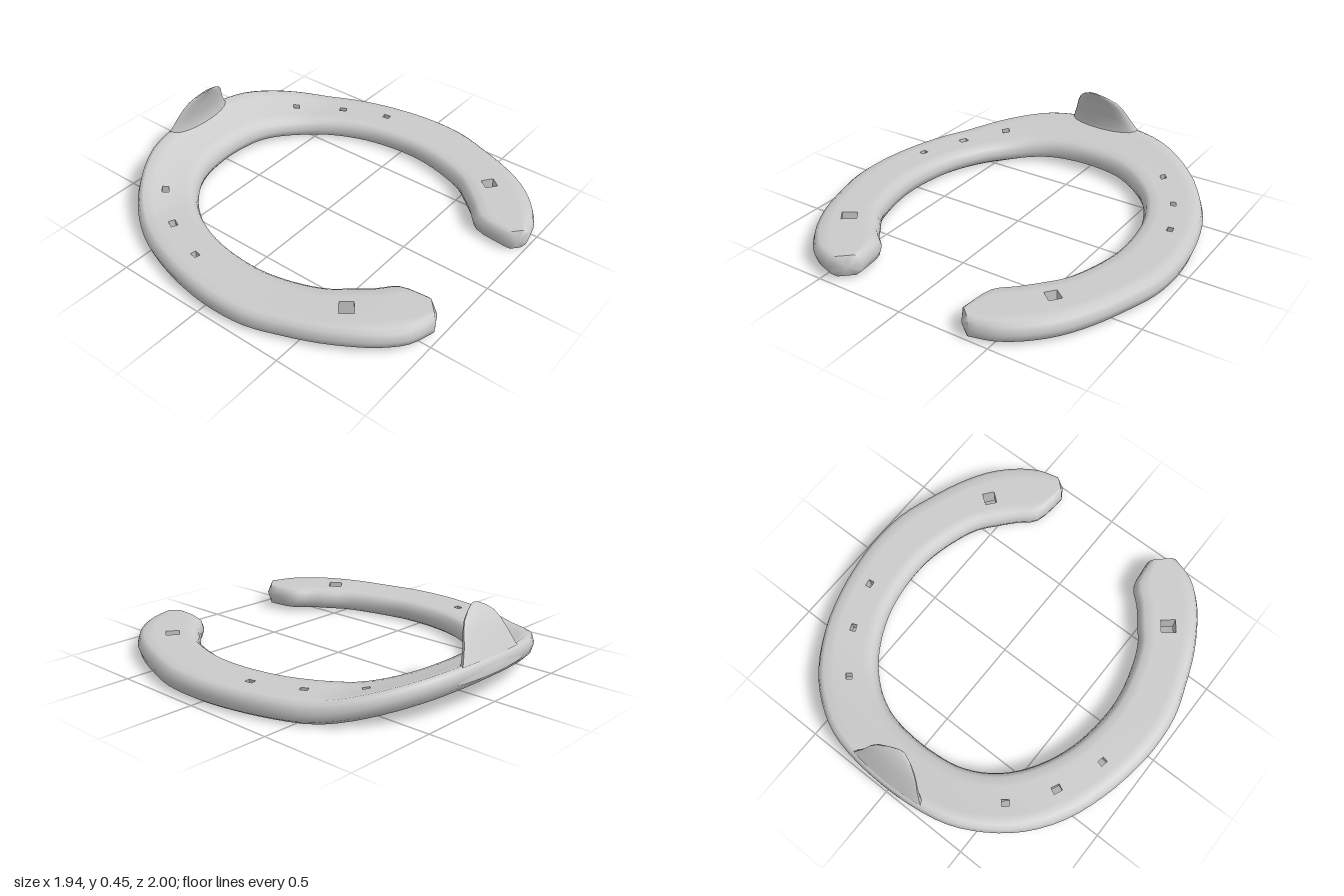
import * as THREE from 'three';
import { toCreasedNormals } from 'three/addons/utils/BufferGeometryUtils.js';

const V = (x, y, z) => new THREE.Vector3(x, y, z);
const material = new THREE.MeshStandardMaterial({ color: 0xcccccc });

// Outline from toe to heel: outer x, outer z, inner x, inner z
const side = [
  [0.19, -0.99, 0.1, -0.695], [0.38, -0.95, 0.22, -0.675], [0.55, -0.86, 0.34, -0.62],
  [0.7, -0.73, 0.45, -0.53], [0.83, -0.54, 0.54, -0.41], [0.91, -0.33, 0.61, -0.26],
  [0.955, -0.12, 0.645, -0.12], [0.97, 0.05, 0.66, 0.05], [0.955, 0.25, 0.65, 0.18],
  [0.9, 0.43, 0.61, 0.34], [0.83, 0.61, 0.56, 0.46], [0.74, 0.77, 0.49, 0.55],
];
const leftHeel = [[0.63, 0.89, 0.41, 0.64], [0.51, 0.97, 0.33, 0.72], [0.4, 1.0, 0.3, 0.91]];
const rightHeel = [[0.68, 0.85, 0.43, 0.63], [0.58, 0.94, 0.35, 0.71], [0.45, 0.985, 0.325, 0.87]];

// Holes: x, z, radius on top, radius below (wider, for the nail heads)
const holes = [
  [0.53, -0.665, 0.023, 0.045], [0.7, -0.44, 0.025, 0.045], [0.8, -0.19, 0.025, 0.045],
  [0.61, 0.635, 0.048, 0.055],
  [-0.54, -0.68, 0.027, 0.045], [-0.7, -0.46, 0.03, 0.045], [-0.8, -0.2, 0.025, 0.045],
  [-0.64, 0.62, 0.054, 0.058],
];

// Rolled-up toe, and a slight rise of the right heel
function lift(x, z) {
  const rise = x < 0 ? 0.018 * THREE.MathUtils.smoothstep(z, 0.2, 0.8) : 0;
  return 0.42 * Math.max(0, -0.55 - z) ** 1.5 + rise;
}

function makeGeometry(points, index) {
  const g = new THREE.BufferGeometry().setFromPoints(points);
  g.setIndex(index);
  return toCreasedNormals(g, 0.95);
}

function shoeGeometry() {
  const pairs = [
    ...[...side, ...rightHeel].reverse().map(([a, b, c, d]) => [-a, b, -c, d]),
    [0, -1, 0, -0.7], ...side, ...leftHeel,
  ];
  const outer = new THREE.CatmullRomCurve3(pairs.map(p => V(p[0], 0, p[1])));
  const inner = new THREE.CatmullRomCurve3(pairs.map(p => V(p[2], 0, p[3])));
  const steps = (pairs.length - 1) * 3, cells = 5, low = 0.005, high = 0.12;

  // Cross-section: inset from the inner (+1) or outer (-1) edge, or a fraction across
  const section = [];
  const flat = (y, inset, flip) => {
    for (let k = 0; k <= cells; k++) section.push({ f: flip ? 1 - k / cells : k / cells, inset, y });
  };
  const wall = (f, rows) => rows.forEach(([inset, y]) => section.push({ f, inset, y }));
  const rows = [[0.012, 0.103], [0, 0.062], [0.012, 0.023]];
  flat(high, 0.035, false);
  wall(1, rows);
  flat(low, 0.04, true);
  wall(0, [...rows].reverse());
  const N = section.length;

  const points = [], index = [], skip = new Set();
  const id = (i, j) => i * N + (j % N);
  const quad = (a, b, c, d) => index.push(a, b, c, a, c, d);
  for (let i = 0; i <= steps; i++) {
    const a = inner.getPoint(i / steps), b = outer.getPoint(i / steps);
    const width = a.distanceTo(b);
    for (const { f, inset, y } of section) {
      const t = (inset + f * (width - 2 * inset)) / width;
      const p = a.clone().lerp(b, t);
      p.y = y + lift(p.x, p.z);
      points.push(p);
    }
  }

  // Open the nearest cell for each hole, above and below, and join the two with walls
  for (const [x, z, rTop, rLow] of holes) {
    let best = null;
    for (let i = 0; i < steps; i++) for (let j = 0; j < cells; j++) {
      const top = [id(i, j), id(i + 1, j), id(i + 1, j + 1), id(i, j + 1)];
      const c = top.reduce((s, k) => s.add(points[k]), V(0, 0, 0)).multiplyScalar(0.25);
      const d = Math.hypot(c.x - x, c.z - z);
      if (!best || d < best.d) best = { d, i, j, c, top };
    }
    const { i, j, c, top } = best, m = 2 * cells + 4 - j;
    const bottom = [id(i, m), id(i + 1, m), id(i + 1, m - 1), id(i, m - 1)];
    skip.add(id(i, j)).add(id(i, m - 1));
    top.forEach((k, n) => {
      const dir = V(points[k].x - c.x, 0, points[k].z - c.z).normalize();
      [[k, rTop, high], [bottom[n], rLow, low]].forEach(([v, r, y]) => {
        const px = x + dir.x * r, pz = z + dir.z * r;
        points[v].set(px, y + lift(px, pz), pz);
      });
    });
    for (let n = 0; n < 4; n++) {
      const o = (n + 1) % 4;
      quad(top[n], top[o], bottom[o], bottom[n]);
    }
  }

  // Skin of the bar
  for (let i = 0; i < steps; i++) for (let j = 0; j < N; j++) {
    if (!skip.has(id(i, j))) quad(id(i, j), id(i + 1, j), id(i + 1, j + 1), id(i, j + 1));
  }
  // Slightly domed heel ends
  for (const i of [0, steps]) {
    const c = V(0, 0, 0);
    for (let j = 0; j < N; j++) c.addScaledVector(points[id(i, j)], 1 / N);
    c.x += i ? -0.012 : 0.02;
    c.z += 0.015;
    const k = points.push(c) - 1;
    for (let j = 0; j < N; j++) {
      if (i) index.push(k, id(i, j + 1), id(i, j));
      else index.push(k, id(i, j), id(i, j + 1));
    }
  }
  return makeGeometry(points, index);
}

// Toe clip levels: height, half width, centre x, outer z, thickness
function clipGeometry() {
  const levels = [
    [0.15, 0.26, 0, -0.993, 0.11], [0.19, 0.245, 0, -0.995, 0.1], [0.235, 0.212, -0.005, -0.972, 0.07],
    [0.3, 0.178, -0.01, -0.943, 0.055], [0.36, 0.15, -0.012, -0.912, 0.04],
    [0.4, 0.12, -0.016, -0.888, 0.03], [0.43, 0.073, -0.025, -0.862, 0.018], [0.449, 0.025, -0.03, -0.842, 0.008],
  ];
  const M = 20, points = [], index = [];
  for (const [y, w, cx, z, t] of levels) for (let k = 0; k < M; k++) {
    const a = (k / M) * Math.PI * 2, x = w * Math.cos(a);
    points.push(V(cx + x, y, z + 0.3 * x * x + t * Math.max(0, Math.sin(a))
      + 0.006 * Math.min(0, Math.sin(a))));
  }
  for (let i = 0; i < levels.length - 1; i++) for (let k = 0; k < M; k++) {
    const n = (k + 1) % M, a = i * M + k, b = i * M + n;
    index.push(a, b + M, b, a, a + M, b + M);
  }
  // Tip
  const tip = points.push(V(-0.03, 0.452, -0.836)) - 1, base = (levels.length - 1) * M;
  for (let k = 0; k < M; k++) index.push(base + k, tip, base + (k + 1) % M);
  return makeGeometry(points, index);
}

export function createModel() {
  const model = new THREE.Group();
  model.name = 'horseshoe';
  const add = (name, geometry) => {
    const mesh = new THREE.Mesh(geometry, material);
    mesh.name = name;
    model.add(mesh);
  };
  add('shoeBar', shoeGeometry());
  add('toeClip', clipGeometry());
  return model;
}
